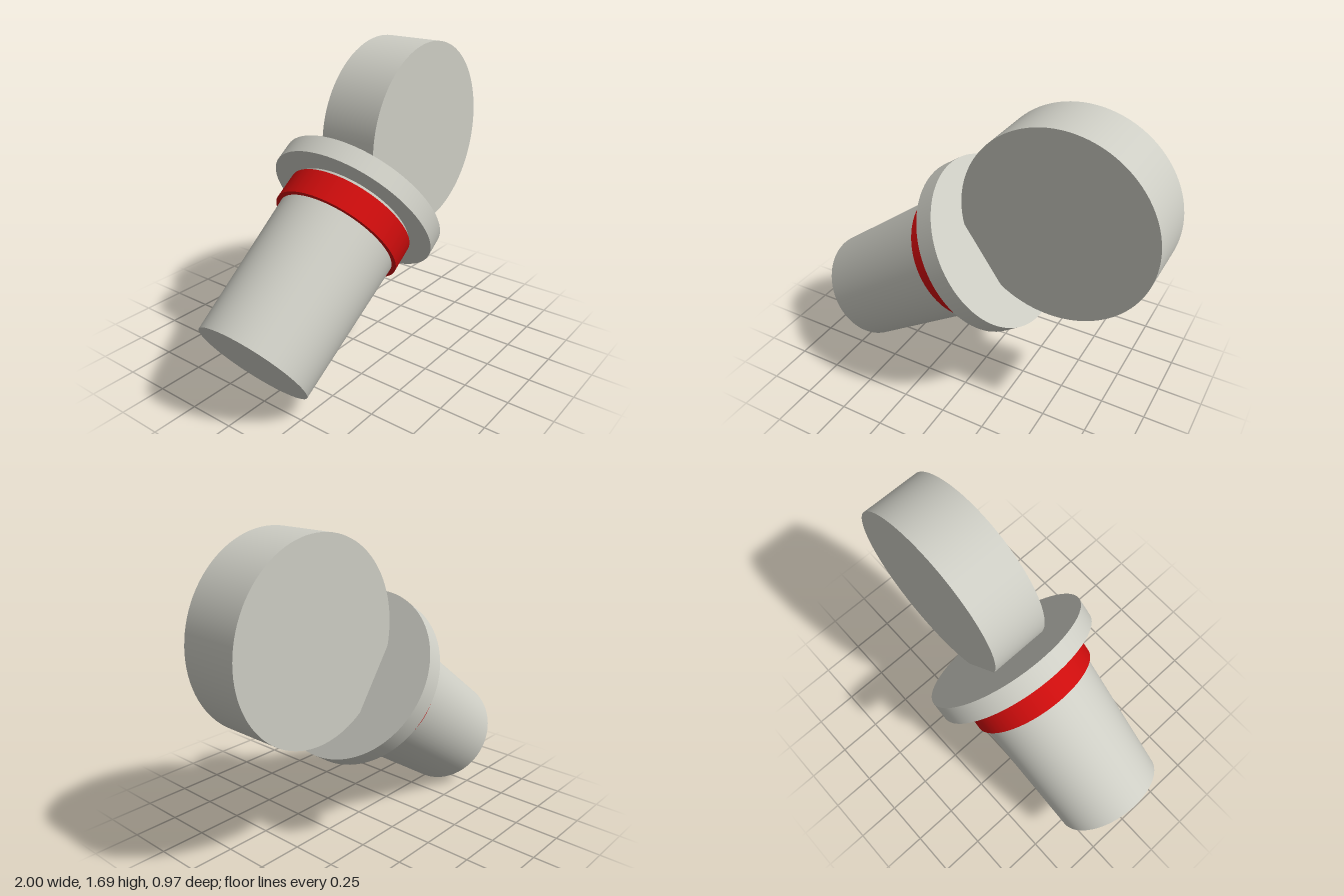
import * as THREE from 'three';

export function createModel() {
  const group = new THREE.Group();
  const grey = new THREE.MeshStandardMaterial({ color: 0xcdcdc4 });
  grey.name = 'light grey';
  const red = new THREE.MeshStandardMaterial({ color: 0xcc0c0c });
  red.name = 'red';

  // Tilted plug: local y runs along its axis from the narrow end
  const plug = new THREE.Group();
  plug.name = 'plug';
  plug.position.set(-0.818, 0.265, 0);
  plug.rotation.z = THREE.MathUtils.degToRad(-55);
  group.add(plug);

  function addRound(parent, name, material, rTop, rBottom, from, to) {
    const geometry = new THREE.CylinderGeometry(rTop, rBottom, to - from, 96);
    const mesh = new THREE.Mesh(geometry, material);
    mesh.name = name;
    mesh.position.y = (from + to) / 2;
    parent.add(mesh);
    return mesh;
  }

  addRound(plug, 'taperedBody', grey, 0.352, 0.318, 0, 0.99);
  addRound(plug, 'sealRing', red, 0.371, 0.371, 0.803, 0.955);
  addRound(plug, 'flange', grey, 0.485, 0.485, 0.977, 1.086);

  // Upright round handle, set into the flange
  const handle = addRound(group, 'discHandle', grey, 0.525, 0.525, -0.168, 0.168);
  handle.rotation.x = Math.PI / 2;
  handle.position.set(0.473, 1.167, 0);

  return group;
}
